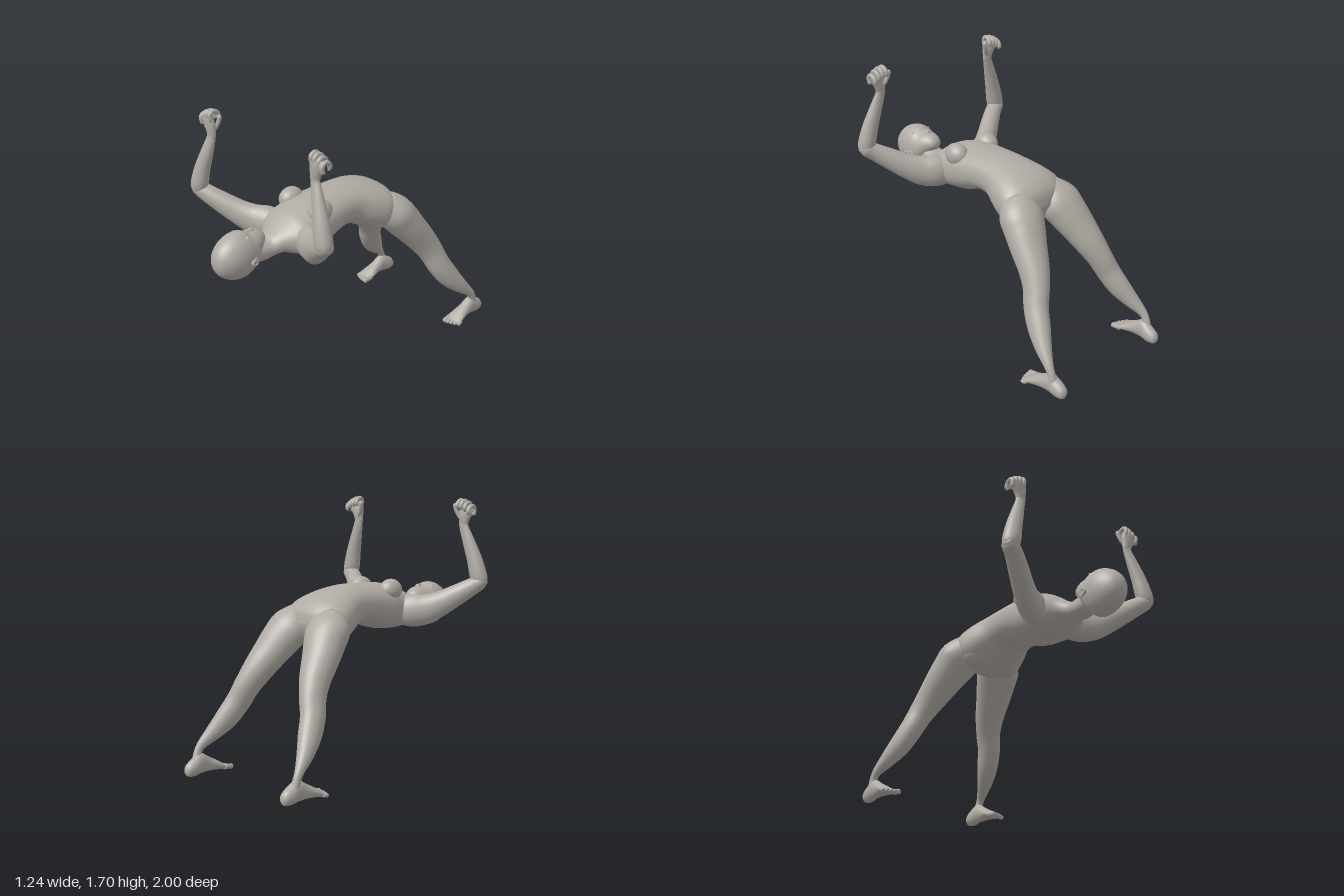
import * as THREE from 'three';

const X = new THREE.Vector3(1, 0, 0);
const Y = new THREE.Vector3(0, 1, 0);
const Z = new THREE.Vector3(0, 0, 1);

// Skin over oval sections [x, y, z, radius along ref, radius across].
// s mirrors x; axis fixes the section planes; power below 1 squares the ovals.
function loft(rows, ref, { s = 1, axis = null, power = 1, seg = 28, steps = 4 } = {}) {
  const path = new THREE.CatmullRomCurve3(rows.map(r => new THREE.Vector3(r[0] * s, r[1], r[2])), false, 'catmullrom', 0.5);
  const radii = new THREE.CatmullRomCurve3(rows.map(r => new THREE.Vector3(r[3], r[4], 0)), false, 'catmullrom', 0.5);
  const n = (rows.length - 1) * steps;
  const pos = [], idx = [];
  const bend = v => Math.sign(v) * Math.pow(Math.abs(v), power);
  for (let i = 0; i <= n; i++) {
    const c = path.getPoint(i / n), r = radii.getPoint(i / n);
    const t = axis ? axis.clone() : path.getTangent(i / n);
    const u = ref.clone().addScaledVector(t, -ref.dot(t)).normalize();
    const v = t.clone().cross(u);
    for (let j = 0; j < seg; j++) {
      const a = j / seg * Math.PI * 2;
      const p = c.clone().addScaledVector(u, Math.max(r.x, 0.002) * bend(Math.cos(a)))
        .addScaledVector(v, Math.max(r.y, 0.002) * bend(Math.sin(a)));
      pos.push(p.x, p.y, p.z);
    }
  }
  for (let i = 0; i < n; i++) for (let j = 0; j < seg; j++) {
    const k = (j + 1) % seg, a = i * seg + j, b = i * seg + k;
    idx.push(a, b, b + seg, a, b + seg, a + seg);
  }
  // End caps
  const first = path.getPoint(0), last = path.getPoint(1), m = pos.length / 3;
  pos.push(first.x, first.y, first.z, last.x, last.y, last.z);
  for (let j = 0; j < seg; j++) {
    const k = (j + 1) % seg;
    idx.push(m, k, j, m + 1, n * seg + j, n * seg + k);
  }
  const g = new THREE.BufferGeometry();
  g.setAttribute('position', new THREE.Float32BufferAttribute(pos, 3));
  g.setIndex(idx);
  g.computeVertexNormals();
  return g;
}

export function createModel() {
  const model = new THREE.Group();
  model.name = 'archedFigure';
  const skin = new THREE.MeshStandardMaterial({ color: 0xb0aba4 });
  skin.name = 'warmGrey';

  const add = (name, geometry) => {
    const mesh = new THREE.Mesh(geometry, skin);
    mesh.name = name;
    model.add(mesh);
    return mesh;
  };
  const blob = (name, p, r) => {
    const mesh = add(name, new THREE.SphereGeometry(1, 28, 20));
    mesh.position.set(...p);
    mesh.scale.set(...r);
    return mesh;
  };
  // Finger or toe with a rounded tip
  const digit = (name, pts, r, s) => add(name, loft(
    [...pts.map((p, i) => [...p, r * (i === pts.length - 1 ? 0.35 : 1), r * (i === pts.length - 1 ? 0.35 : 1)])],
    X, { s, seg: 12, steps: 4 }));

  // Torso, pelvis to neck
  add('torso', loft([
    [0, 0.885, -0.385, 0.07, 0.05], [0, 0.905, -0.34, 0.2, 0.115], [0, 0.945, -0.26, 0.245, 0.152],
    [0, 0.987, -0.16, 0.222, 0.148], [0, 1.018, -0.06, 0.185, 0.135], [0, 1.028, 0.04, 0.178, 0.128],
    [0, 1.02, 0.14, 0.185, 0.135], [0, 1.0, 0.24, 0.195, 0.15], [0, 0.983, 0.33, 0.195, 0.147],
    [0, 0.965, 0.42, 0.2, 0.13], [0, 0.955, 0.48, 0.175, 0.098], [0, 0.945, 0.53, 0.115, 0.072],
    [0, 0.927, 0.59, 0.08, 0.054], [0, 0.925, 0.66, 0.074, 0.06], [0, 0.94, 0.73, 0.07, 0.06],
  ], X, { power: 0.88, seg: 40 }));

  // Head, crown towards +z and face upwards
  add('head', loft([
    [0, 1.02, 0.628, 0.018, 0.012], [0, 1.021, 0.64, 0.04, 0.033], [0, 1.014, 0.67, 0.064, 0.06],
    [0, 0.992, 0.71, 0.086, 0.093], [0, 0.965, 0.755, 0.105, 0.124], [0, 0.961, 0.8, 0.113, 0.147],
    [0, 0.959, 0.86, 0.114, 0.147], [0, 0.957, 0.92, 0.1, 0.124], [0, 0.955, 0.965, 0.073, 0.088],
    [0, 0.955, 0.988, 0.045, 0.052], [0, 0.955, 0.998, 0.012, 0.014],
  ], X, { axis: Z, seg: 40 }));
  add('nose', loft([
    [0, 1.068, 0.702, 0.01, 0.008], [0, 1.077, 0.71, 0.018, 0.022], [0, 1.079, 0.722, 0.014, 0.022],
    [0, 1.08, 0.745, 0.01, 0.015], [0, 1.084, 0.78, 0.008, 0.006],
  ], X, { axis: Z, seg: 16 }));
  blob('upperLip', [0, 1.07, 0.683], [0.026, 0.009, 0.007]);
  blob('lowerLip', [0, 1.062, 0.671], [0.023, 0.009, 0.007]);
  blob('chin', [0, 1.03, 0.645], [0.028, 0.02, 0.016]);

  for (const s of [1, -1]) {
    const side = s > 0 ? 'left' : 'right';

    // Face details
    blob(side + 'Eye', [s * 0.044, 1.069, 0.772], [0.02, 0.012, 0.009]);
    blob(side + 'Brow', [s * 0.045, 1.076, 0.795], [0.03, 0.014, 0.01]);
    const ear = add(side + 'Ear', new THREE.TorusGeometry(0.022, 0.007, 10, 24));
    ear.position.set(s * 0.12, 0.94, 0.785);
    ear.rotation.y = s * (Math.PI / 2 + 0.35);
    ear.scale.set(1.45, 0.9, 1);
    blob(side + 'EarInner', [s * 0.114, 0.94, 0.785], [0.007, 0.018, 0.028]);

    // Chest and seat
    blob(side + 'Breast', [s * 0.13, 1.104, 0.275], [0.068, 0.073, 0.085]);
    blob(side + 'Buttock', [s * 0.11, 0.9, -0.25], [0.115, 0.095, 0.115]);

    // Leg from hip to ankle
    add(side + 'Leg', loft([
      [0.13, 0.965, -0.27, 0.1, 0.1], [0.162, 0.9, -0.35, 0.143, 0.12], [0.188, 0.83, -0.41, 0.133, 0.118],
      [0.213, 0.76, -0.465, 0.12, 0.108], [0.248, 0.65, -0.55, 0.097, 0.096], [0.285, 0.55, -0.61, 0.079, 0.086],
      [0.325, 0.45, -0.65, 0.072, 0.082], [0.362, 0.35, -0.715, 0.066, 0.076], [0.4, 0.265, -0.79, 0.05, 0.054],
      [0.43, 0.195, -0.862, 0.03, 0.032], [0.437, 0.15, -0.892, 0.024, 0.026], [0.433, 0.09, -0.91, 0.03, 0.03],
    ], X, { s }));

    // Foot, heel to ball
    add(side + 'Foot', loft([
      [0.425, 0.045, -1.0, 0.012, 0.014], [0.425, 0.048, -0.985, 0.032, 0.038], [0.425, 0.06, -0.94, 0.042, 0.056],
      [0.427, 0.077, -0.885, 0.04, 0.065], [0.428, 0.06, -0.82, 0.043, 0.046], [0.428, 0.042, -0.76, 0.055, 0.031],
      [0.43, 0.026, -0.715, 0.061, 0.019], [0.432, 0.02, -0.695, 0.055, 0.012],
    ], X, { s, axis: Z }));
    for (let i = 0; i < 5; i++) {
      const x = 0.383 + i * 0.0245, end = -0.66 - 0.004 * i * i * 0.5;
      digit(side + 'Toe' + (i + 1), [[x, 0.028, -0.73], [x + 0.003, 0.022, end - 0.025],
        [x + 0.004, 0.018, end - 0.006], [x + 0.004, 0.016, end]], i ? 0.0125 : 0.017, s);
    }

    // Upper arm
    add(side + 'UpperArm', loft([
      [0.1, 0.96, 0.385, 0.09, 0.08], [0.19, 0.962, 0.418, 0.108, 0.085], [0.27, 0.972, 0.462, 0.1, 0.074],
      [0.35, 1.01, 0.515, 0.083, 0.068], [0.44, 1.07, 0.578, 0.069, 0.062], [0.52, 1.125, 0.63, 0.057, 0.055],
      [0.575, 1.16, 0.655, 0.048, 0.05], [0.605, 1.172, 0.665, 0.026, 0.03],
    ], Y, { s }));

    // Forearm
    add(side + 'Forearm', loft([
      [0.577, 1.12, 0.66, 0.025, 0.024], [0.568, 1.15, 0.657, 0.047, 0.05], [0.555, 1.2, 0.654, 0.054, 0.058],
      [0.53, 1.3, 0.645, 0.047, 0.052], [0.49, 1.42, 0.63, 0.034, 0.042], [0.46, 1.51, 0.619, 0.021, 0.034],
      [0.457, 1.55, 0.618, 0.02, 0.034],
    ], Z, { s }));

    // Loosely closed hand, palm turned to -z
    add(side + 'Palm', loft([
      [0.455, 1.52, 0.618, 0.018, 0.033], [0.46, 1.555, 0.618, 0.023, 0.038], [0.472, 1.6, 0.62, 0.025, 0.053],
      [0.481, 1.635, 0.624, 0.022, 0.057], [0.483, 1.655, 0.625, 0.013, 0.05],
    ], Z, { s, axis: Y }));
    for (let i = 0; i < 4; i++) {
      const x = 0.44 + i * 0.029, y = 1.684 - 0.004 * i * i;
      digit(side + 'Finger' + (i + 1), [[x, y - 0.06, 0.626], [x + 0.002, y - 0.018, 0.634], [x + 0.002, y, 0.61],
        [x, y - 0.014, 0.58], [x - 0.002, y - 0.04, 0.572], [x - 0.004, y - 0.056, 0.582]], 0.0145, s);
    }
    digit(side + 'Thumb', [[0.445, 1.56, 0.61], [0.425, 1.595, 0.598], [0.412, 1.63, 0.59],
      [0.409, 1.652, 0.588], [0.411, 1.664, 0.588]], 0.014, s);
  }
  return model;
}
